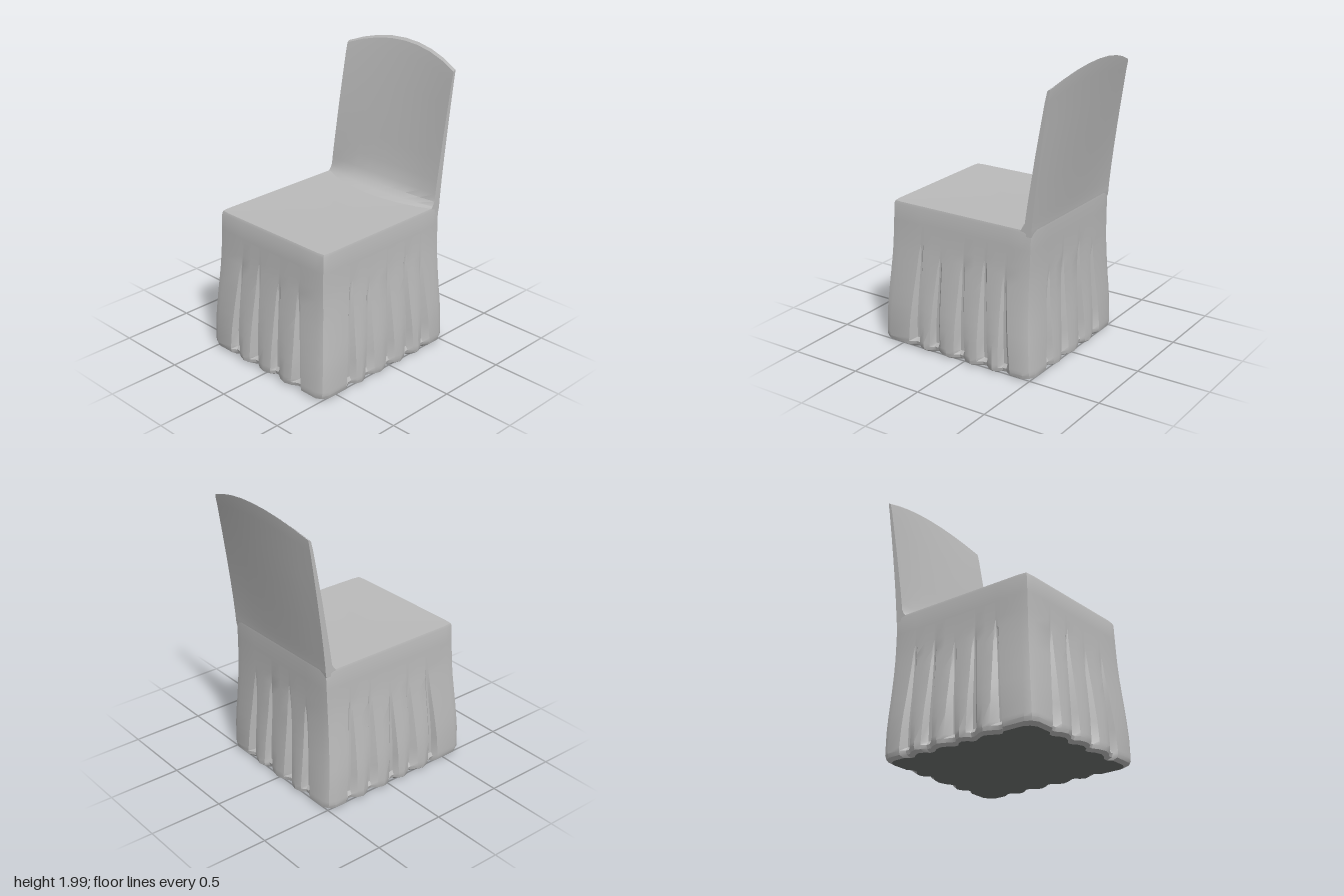
import * as THREE from 'three';
import { toCreasedNormals } from 'three/addons/utils/BufferGeometryUtils.js';

// Skin a stack of rings (counter-clockwise from above); an optional centre closes the top
function loft(rings, top) {
  const n = rings[0].length, pos = rings.flat(2), idx = [];
  for (let r = 0; r < rings.length - 1; r++) {
    for (let i = 0; i < n; i++) {
      const j = (i + 1) % n, a = r * n + i, b = r * n + j;
      idx.push(a, b, b + n, a, b + n, a + n);
    }
  }
  if (top) {
    const c = pos.length / 3, start = c - n;
    pos.push(...top);
    for (let i = 0; i < n; i++) idx.push(c, start + i, start + (i + 1) % n);
  }
  const g = new THREE.BufferGeometry();
  g.setAttribute('position', new THREE.Float32BufferAttribute(pos, 3));
  g.setIndex(idx);
  return toCreasedNormals(g, 0.55);
}

// Pleat positions along each side, -1..1: front, left, back, right
const SIDES = [
  { t: [1, 0], n: [0, 1], pleats: [-0.55, -0.2, 0.18, 0.55] },
  { t: [0, -1], n: [1, 0], pleats: [-0.55, -0.26, 0.07, 0.38, 0.66] },
  { t: [-1, 0], n: [0, -1], pleats: [-0.55, -0.2, 0.2, 0.55] },
  { t: [0, 1], n: [-1, 0], pleats: [-0.66, -0.36, -0.05, 0.24, 0.55] },
];

// One horizontal section of the cover: height, half width, front z, back z
function coverRing([y, hx, zf, zb]) {
  const ring = [], hz = (zf - zb) / 2, cz = (zf + zb) / 2;
  const low = Math.max(0, 1 - y / 0.75);
  const corner = 0.006 + 0.016 * low;
  SIDES.forEach(({ t, n, pleats }, s) => {
    const half = t[0] ? hx : hz;
    const add = (u, out) => ring.push([
      t[0] * u * hx + n[0] * (hx + out), y, cz + t[1] * u * hz + n[1] * (hz + out)]);
    add(-1 + corner / half, -corner);          // softened corner
    add(-1 + 0.06 / half, 0);
    pleats.forEach((p, k) => {
      const end = 0.71 + 0.04 * Math.sin(s * 2.3 + k * 1.9);
      const open = Math.max(0, 1 - y / end);
      // pleats grow shallower again at the hem
      const depth = 0.045 * Math.pow(open, 0.7) * (y < 0.06 ? 0.6 : 1);
      const w = (0.014 + 0.034 * open) / half;
      const lean = 0.012 * Math.sin(k * 2.7 + s) * open / half;
      add(p - w, 0);
      add(p - w * 0.3 + lean, -depth);
      add(p + w * 0.3 + lean, -depth);
      add(p + w, 0);
      if (k < pleats.length - 1) add((p + pleats[k + 1]) / 2, 0.014 * low);
    });
    add(1 - 0.06 / half, 0);
  });
  return ring;
}

// One section of the backrest: height, front z, back z, and how far the front recedes at the sides
function backRing([h, zf, zb, recede = 0]) {
  const t = Math.max(0, h - 1), front = [], back = [], N = 8;
  for (let i = 0; i <= N; i++) {
    const u = -1 + 2 * i / N;
    const y = h - 0.1 * u * u * t * t;
    const bow = -0.055 * (1 - u * u) * t;
    const x = u * (0.473 - 0.004 * t);
    front.push([x, y, zf + bow - recede * u * u]);
    back.unshift([x, y, zb + bow]);
  }
  return [...front, ...back];
}

export function createModel() {
  const fabric = new THREE.MeshStandardMaterial({ color: 0xbababa });
  fabric.name = 'grey fabric';
  const shade = new THREE.MeshStandardMaterial({ color: 0x6e7270 });
  shade.name = 'dark underside';
  const group = new THREE.Group();
  group.name = 'coveredChair';
  const part = (name, geometry, material) => {
    const m = new THREE.Mesh(geometry, material);
    m.name = name;
    group.add(m);
    return m;
  };

  // Seat cover with flared, pleated skirt and tucked hem
  const rings = [
    [0.008, 0.5, 0.615, -0.495], [0.025, 0.525, 0.642, -0.518], [0.05, 0.532, 0.648, -0.522],
    [0.075, 0.532, 0.647, -0.521], [0.2, 0.53, 0.64, -0.514], [0.3, 0.523, 0.63, -0.507],
    [0.4, 0.513, 0.62, -0.499], [0.5, 0.503, 0.608, -0.493], [0.6, 0.493, 0.597, -0.488],
    [0.68, 0.486, 0.59, -0.486], [0.75, 0.481, 0.585, -0.485], [0.87, 0.477, 0.58, -0.487],
    [0.98, 0.475, 0.575, -0.49], [0.997, 0.471, 0.568, -0.489],
  ].map(coverRing);
  part('seatCover', loft(rings, [0, 0.993, 0.04]), fabric);

  // Flat underside closing the hem
  const outline = new THREE.Shape(rings[0].map(([x, , z]) => new THREE.Vector2(x, z)));
  const underside = new THREE.ShapeGeometry(outline).rotateX(Math.PI / 2);
  part('underside', underside, shade).position.y = rings[0][0][1];

  // Leaning backrest, blended into the seat and closing to a thin arched top
  const profile = [
    [0.96, -0.3, -0.484, 0.11], [0.994, -0.3, -0.489, 0.11], [1.01, -0.365, -0.49, 0.06],
    [1.04, -0.41, -0.492, 0.03], [1.09, -0.437, -0.497, 0.01], [1.18, -0.46, -0.506],
    [1.32, -0.482, -0.522], [1.5, -0.509, -0.544], [1.7, -0.541, -0.569],
    [1.9, -0.572, -0.594], [1.985, -0.588, -0.606], [2.0, -0.604, -0.607],
  ];
  part('backrest', loft(profile.map(backRing)), fabric);
  return group;
}
